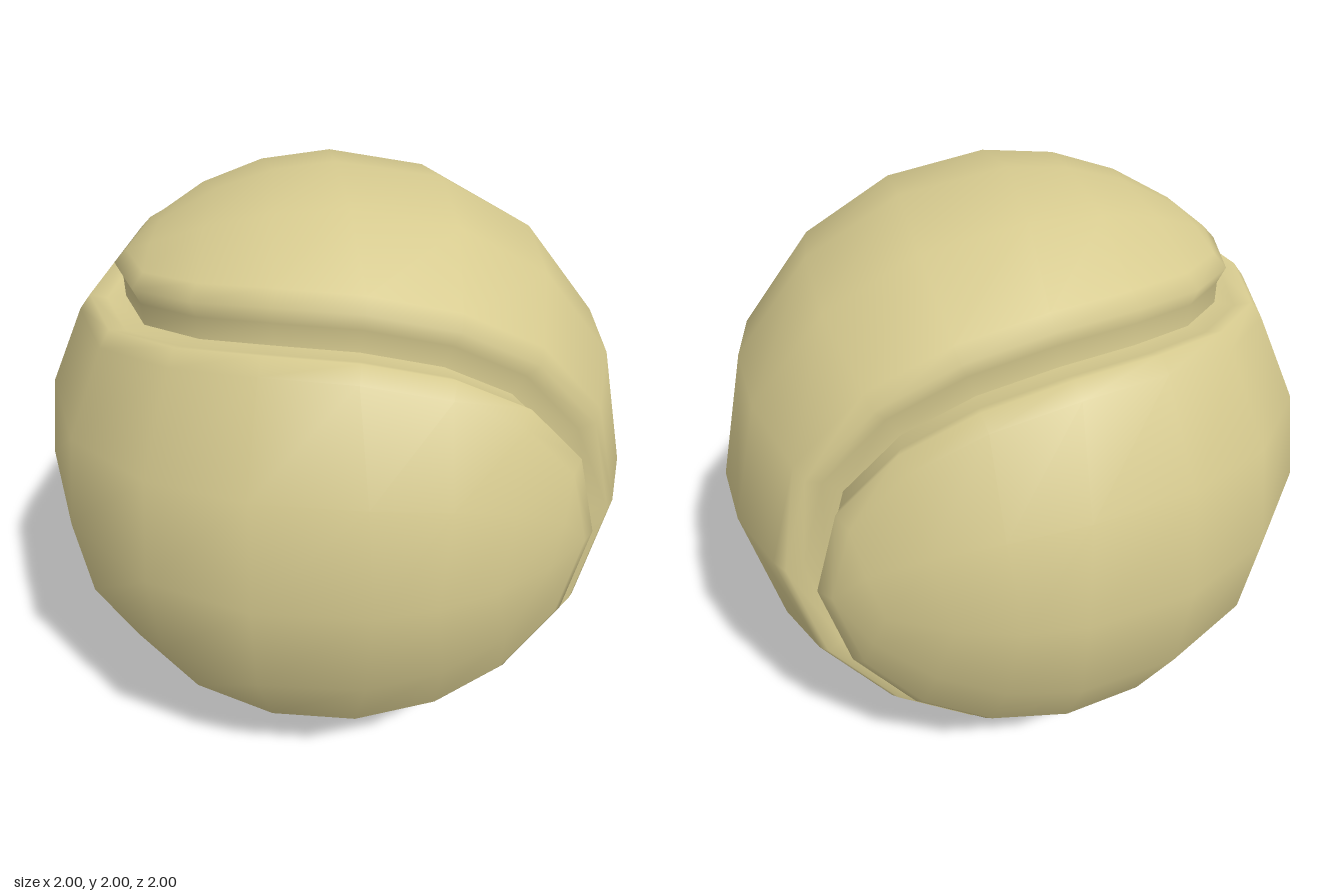
import * as THREE from 'three';
import { mergeVertices } from 'three/addons/utils/BufferGeometryUtils.js';

const rad = THREE.MathUtils.degToRad;
const material = new THREE.MeshStandardMaterial({ color: 0xd6ca8f, side: THREE.DoubleSide });

// Steps along a quarter of the seam, and of the panel's centre line
const SEAM = [0, 27, 50, 70, 90, 110, 130, 153, 180];
const SPINE = [134, 124, 112, 101, 90, 70, 50, 27, 0];
const HALF = 16, LOOP = 32;

// Wavy closed curve on the unit sphere
function seam(t) {
  const a = 0.815, b = -0.185, c = 2 * Math.sqrt(-a * b);
  return new THREE.Vector3(
    c * Math.cos(2 * t),
    a * Math.sin(t) - b * Math.sin(3 * t),
    a * Math.cos(t) + b * Math.cos(3 * t));
}

// Seam point moved sideways over the sphere (positive = into the panel)
function offsetSeam(t, degrees, radius) {
  const p = seam(t).normalize();
  const tangent = seam(t + 0.001).sub(seam(t - 0.001)).normalize();
  const side = p.clone().cross(tangent).normalize();
  const d = rad(degrees);
  return p.multiplyScalar(Math.cos(d)).addScaledVector(side, Math.sin(d)).multiplyScalar(radius);
}

function seamAngle(i) {
  if (i > HALF) return -seamAngle(LOOP - i);
  return i <= 8 ? rad(SEAM[i] / 2) : Math.PI - rad(SEAM[HALF - i] / 2);
}

function spinePoint(k) {
  const angle = rad(SPINE[Math.min(k, HALF - k)]);
  return new THREE.Vector3(-Math.cos(angle), 0, Math.sin(angle) * (k <= 8 ? 1 : -1));
}

// Join rows of points into quads
function skin(rows, positions) {
  for (let r = 0; r < rows.length - 1; r++) {
    for (let s = 0; s < rows[r].length - 1; s++) {
      const a = rows[r][s], b = rows[r][s + 1], c = rows[r + 1][s + 1], d = rows[r + 1][s];
      for (const tri of [[a, b, c], [a, c, d]]) {
        const area = tri[1].clone().sub(tri[0]).cross(tri[2].clone().sub(tri[0])).length();
        if (area > 1e-7) tri.forEach((p) => positions.push(p.x, p.y, p.z));
      }
    }
  }
}

// One dumbbell-shaped panel with a rim that rolls down into the groove
function panel(name, edge, bottom) {
  const positions = [];
  const profile = [[bottom, 0.9], [edge - 1.2, 0.945], [edge, 0.997], [edge + 3.5, 1]];
  const rings = profile.map(([degrees, radius]) => {
    const ring = [];
    for (let i = 0; i <= LOOP; i++) ring.push(offsetSeam(seamAngle(i % LOOP), degrees, radius));
    return ring;
  });
  skin(rings, positions);

  // Domed face: arcs from one long side over the centre line to the other
  const inner = rings[rings.length - 1];
  const arcs = [0, 1, 2, 3, 4].map(() => []);
  for (let k = 0; k <= HALF; k++) {
    const top = inner[k], low = inner[LOOP - k];
    const mid = k === 0 || k === HALF ? top.clone() : spinePoint(k);
    arcs[0].push(top);
    arcs[1].push(top.clone().add(mid).normalize());
    arcs[2].push(mid);
    arcs[3].push(low.clone().add(mid).normalize());
    arcs[4].push(low);
  }
  skin(arcs, positions);

  let geometry = new THREE.BufferGeometry();
  geometry.setAttribute('position', new THREE.Float32BufferAttribute(positions, 3));
  geometry = mergeVertices(geometry, 1e-4);
  geometry.computeVertexNormals();
  const mesh = new THREE.Mesh(geometry, material);
  mesh.name = name;
  return mesh;
}

export function createModel() {
  const ball = new THREE.Group();
  ball.name = 'ball';

  const sidePanel = panel('frontBackPanel', 2.8, -1);
  const topPanel = panel('topBottomPanel', 5.2, 1);
  // Half turn about the y = z diagonal interlocks the second panel
  topPanel.quaternion.setFromAxisAngle(new THREE.Vector3(0, 1, 1).normalize(), Math.PI);

  for (const mesh of [sidePanel, topPanel]) {
    mesh.position.y = 1;
    ball.add(mesh);
  }
  return ball;
}
